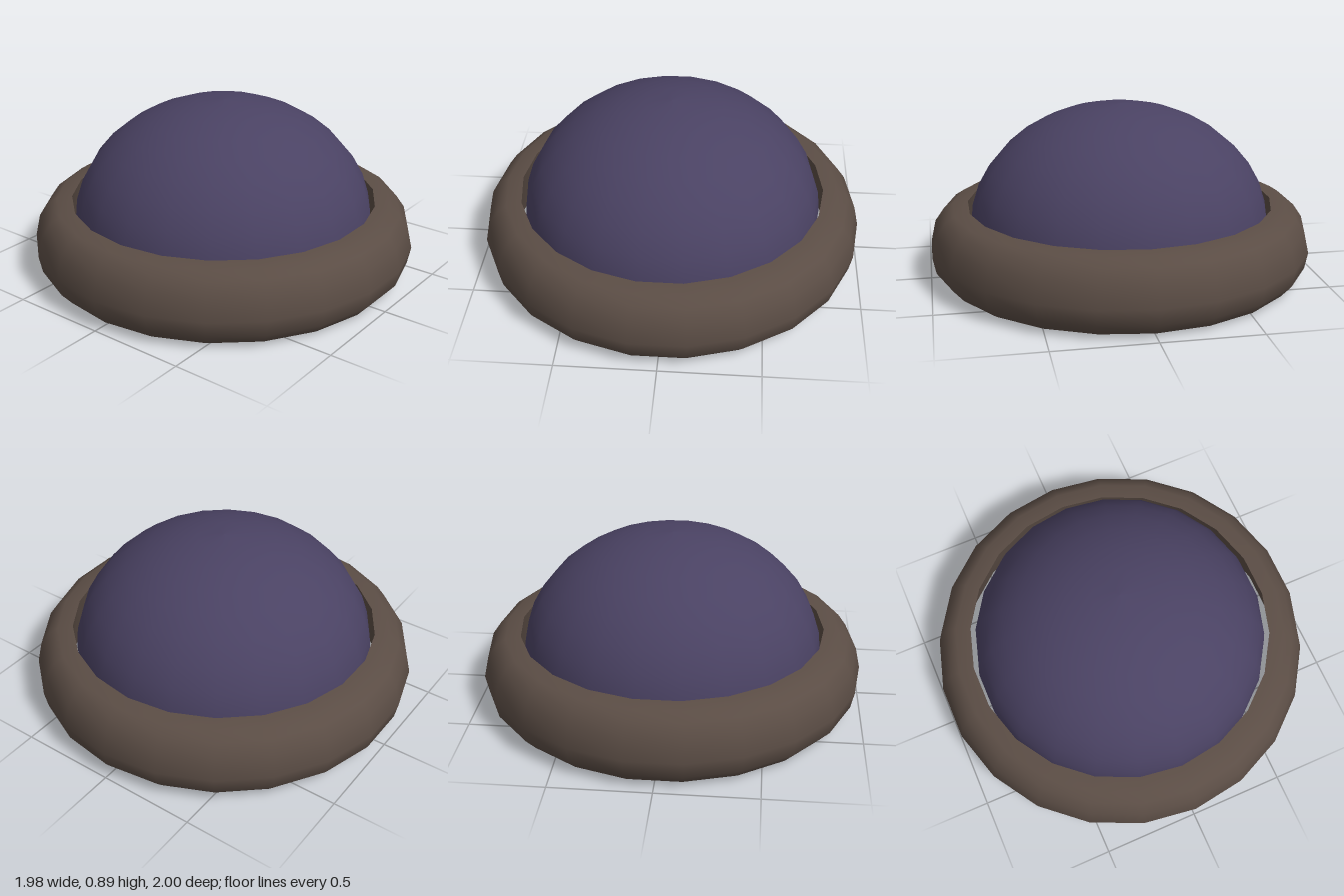
import * as THREE from 'three';

const SEGMENTS = 22;

// Revolves a [radius, height] profile; rising profiles face outward, falling ones inward.
function revolve(name, profile, material) {
  const points = profile.map(([r, y]) => new THREE.Vector2(r, y));
  const mesh = new THREE.Mesh(new THREE.LatheGeometry(points, SEGMENTS), material);
  mesh.name = name;
  return mesh;
}

export function createModel() {
  const purple = new THREE.MeshStandardMaterial({ color: 0x4a4263, side: THREE.DoubleSide });
  purple.name = 'purple knit';
  const brown = new THREE.MeshStandardMaterial({ color: 0x5b4d45, side: THREE.DoubleSide });
  brown.name = 'brown band';

  const hat = new THREE.Group();
  hat.name = 'hat';

  // Crown: open, thin shell with a squashed dome and slightly tucked rim
  const crown = [[0.76, 0.005], [0.78, 0.1]];
  const steps = 9;
  for (let i = 0; i <= steps; i++) {
    const a = (i / steps) * Math.PI / 2;
    crown.push([i === steps ? 0 : 0.787 * Math.cos(a), 0.25 + 0.65 * Math.sin(a)]);
  }
  hat.add(revolve('crown', crown, purple));

  // Brim: rolled outer face, with an inner wall that flares toward the bottom
  const brim = new THREE.Group();
  brim.name = 'brim';
  brim.add(revolve('brimOuter', [
    [0.89, 0.01], [0.93, 0.02], [0.983, 0.08], [1, 0.165], [0.975, 0.275],
    [0.93, 0.34], [0.88, 0.372], [0.8, 0.38],
  ], brown));
  brim.add(revolve('brimInner', [
    [0.8, 0.38], [0.825, 0.26], [0.86, 0.12], [0.89, 0.01],
  ], brown));
  hat.add(brim);

  // Rest the lowest edge on the ground
  hat.position.y = -0.005;
  const model = new THREE.Group();
  model.name = 'model';
  model.add(hat);
  return model;
}
